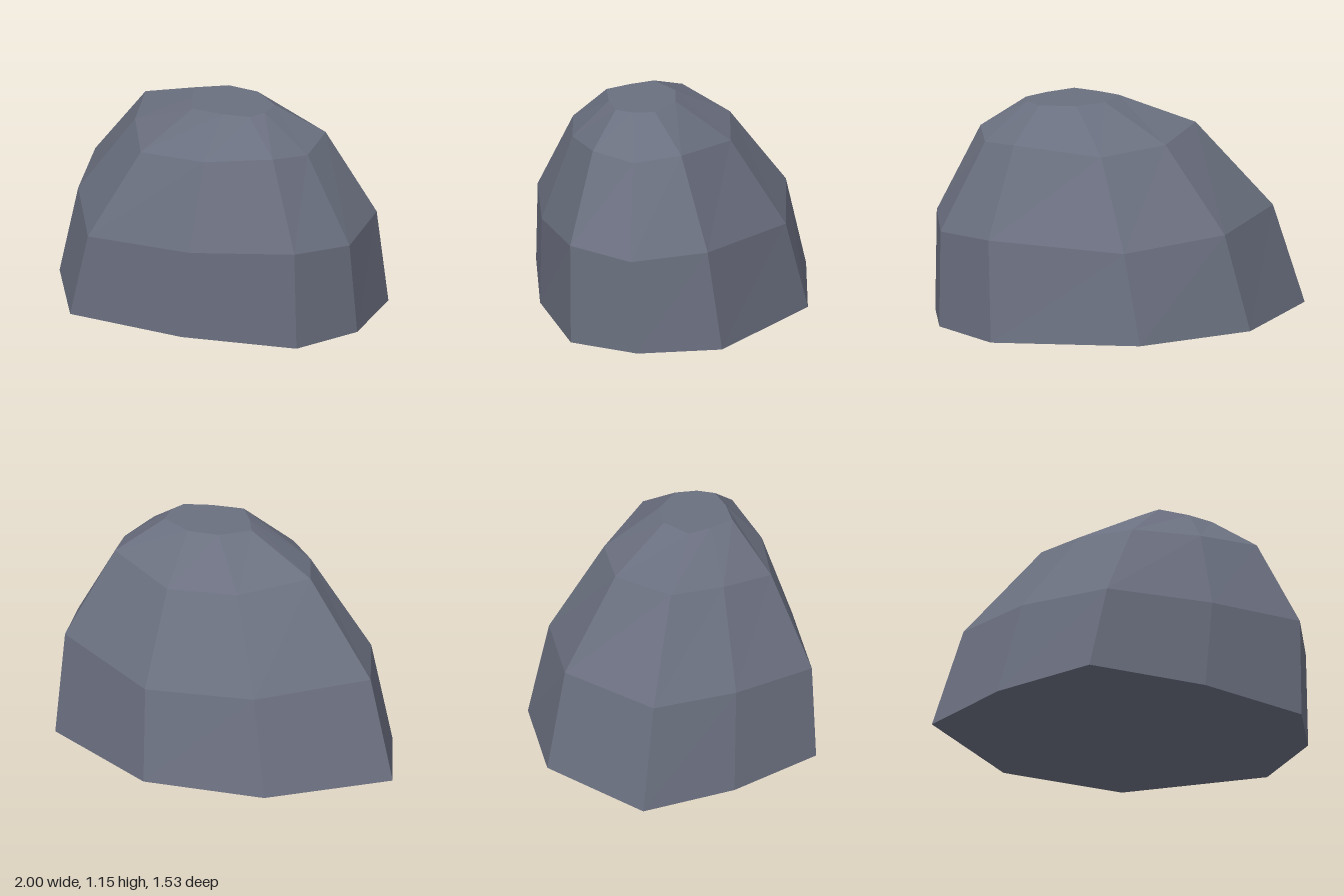
import * as THREE from 'three';

// Horizontal cross-sections of the boulder, bottom to top: nine [x, y, z] corners each
const RINGS = [
  [[-1, 0, -0.13], [-0.74, 0, 0.345], [-0.33, 0, 0.765], [0.32, 0, 0.635], [0.89, 0, 0.375],
    [1, 0, 0], [0.865, 0, -0.43], [0.15, 0, -0.77], [-0.51, 0, -0.65]],
  [[-0.84, 0.53, -0.08], [-0.61, 0.51, 0.35], [-0.23, 0.465, 0.74], [0.36, 0.49, 0.62], [0.88, 0.54, 0.38],
    [0.98, 0.505, 0.04], [0.85, 0.535, -0.35], [0.2, 0.48, -0.66], [-0.4, 0.51, -0.56]],
  [[-0.435, 0.995, 0], [-0.285, 0.97, 0.275], [-0.05, 0.925, 0.52], [0.33, 0.95, 0.46], [0.665, 1, 0.295],
    [0.72, 0.965, 0.07], [0.645, 0.995, -0.175], [0.225, 0.94, -0.37], [-0.16, 0.96, -0.3]],
  [[-0.035, 1.155, 0.085], [0.04, 1.155, 0.2], [0.135, 1.155, 0.31], [0.305, 1.155, 0.27], [0.44, 1.155, 0.21],
    [0.465, 1.155, 0.115], [0.44, 1.155, 0], [0.26, 1.155, -0.08], [0.09, 1.155, -0.05]],
];

// Joins the rings with facets and closes both ends; unshared corners keep it faceted
function loftRings(rings) {
  const pos = [];
  const tri = (a, b, c) => pos.push(...a, ...b, ...c);
  const n = rings[0].length;
  for (let r = 0; r < rings.length - 1; r++) {
    for (let i = 0; i < n; i++) {
      const j = (i + 1) % n;
      const [a, b, c, d] = [rings[r][i], rings[r][j], rings[r + 1][j], rings[r + 1][i]];
      tri(a, b, c);
      tri(a, c, d);
    }
  }
  const base = rings[0];
  const top = rings[rings.length - 1];
  for (let i = 1; i < n - 1; i++) {
    tri(base[0], base[i + 1], base[i]);
    tri(top[0], top[i], top[i + 1]);
  }
  const geometry = new THREE.BufferGeometry();
  geometry.setAttribute('position', new THREE.Float32BufferAttribute(pos, 3));
  geometry.computeVertexNormals();
  return geometry;
}

export function createModel() {
  const group = new THREE.Group();
  group.name = 'rock';
  const stone = new THREE.MeshStandardMaterial({ color: 0x6b7080, flatShading: true });
  stone.name = 'slateStone';
  const boulder = new THREE.Mesh(loftRings(RINGS), stone);
  boulder.name = 'boulder';
  group.add(boulder);
  return group;
}
